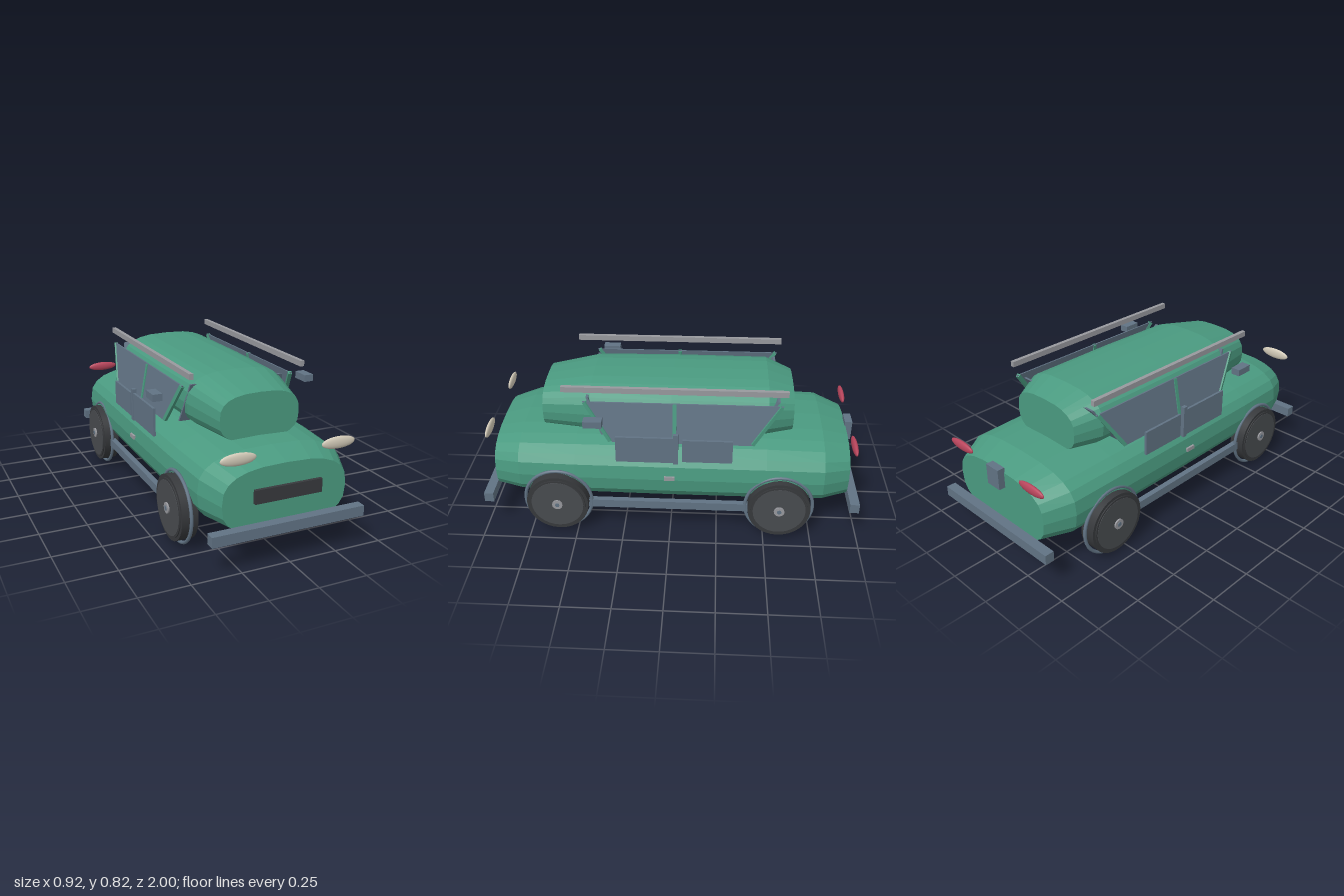
import * as THREE from 'three';

const mat = (name, color) => {
  const m = new THREE.MeshStandardMaterial({ color });
  m.name = name;
  return m;
};

// Loft of superellipse rings; stations run front to back: [z, centreY, halfWidth, halfHeight]
function loft(stations, power, sides) {
  const pos = [], index = [];
  const bend = (v) => Math.sign(v) * Math.abs(v) ** (2 / power);
  for (const [z, cy, w, h] of stations) {
    for (let j = 0; j < sides; j++) {
      const a = (j / sides) * Math.PI * 2;
      pos.push(w * bend(Math.cos(a)), cy + h * bend(Math.sin(a)), z);
    }
  }
  const last = (stations.length - 1) * sides;
  const front = pos.length / 3, back = front + 1;
  const end = stations[stations.length - 1];
  pos.push(0, stations[0][1], stations[0][0], 0, end[1], end[0]);
  for (let j = 0; j < sides; j++) {
    const k = (j + 1) % sides;
    for (let i = 0; i < last; i += sides) {
      const a = i + j, b = i + k, c = a + sides, d = b + sides;
      index.push(a, c, b, b, c, d);
    }
    index.push(front, j, k, back, last + k, last + j);
  }
  const indexed = new THREE.BufferGeometry();
  indexed.setAttribute('position', new THREE.Float32BufferAttribute(pos, 3));
  indexed.setIndex(index);
  const geo = indexed.toNonIndexed();
  geo.computeVertexNormals();
  return geo;
}

export function createModel() {
  const car = new THREE.Group();
  car.name = 'car';
  const green = mat('green paint', 0x4a9a80);
  const slate = mat('slate trim', 0x617384);
  const rubber = mat('black rubber', 0x37393c);
  const disc = mat('wheel grey', 0x484b4f);
  const silver = mat('silver', 0x98999e);
  const cream = mat('headlight cream', 0xd2cab8);
  const red = mat('tail light red', 0xb8455c);

  const add = (name, geo, material, x = 0, y = 0, z = 0, parent = car) => {
    const m = new THREE.Mesh(geo, material);
    m.name = name;
    m.position.set(x, y, z);
    parent.add(m);
    return m;
  };
  // Box given by its limits on each axis
  const box = (name, material, x0, x1, y0, y1, z0, z1) =>
    add(name, new THREE.BoxGeometry(Math.abs(x1 - x0), y1 - y0, z1 - z0), material,
      (x0 + x1) / 2, (y0 + y1) / 2, (z0 + z1) / 2);
  // Square bar between two points
  const bar = (name, material, p, q, size) => {
    const a = new THREE.Vector3(...p), b = new THREE.Vector3(...q);
    const m = add(name, new THREE.BoxGeometry(size, size, a.distanceTo(b)), material);
    m.position.copy(a).add(b).multiplyScalar(0.5);
    m.lookAt(b);
  };

  // Body and cabin shells
  add('body', loft([
    [0.94, 0.312, 0.325, 0.163], [0.8, 0.33, 0.383, 0.185], [0.5, 0.334, 0.4, 0.192],
    [0, 0.335, 0.405, 0.195], [-0.5, 0.335, 0.405, 0.194], [-0.8, 0.332, 0.4, 0.187],
    [-0.94, 0.312, 0.325, 0.163],
  ], 2.8, 24), green);
  add('cabin', loft([
    [0.68, 0.615, 0.213, 0.12], [0.42, 0.637, 0.268, 0.148], [0, 0.638, 0.28, 0.149],
    [-0.5, 0.638, 0.276, 0.148], [-0.635, 0.617, 0.213, 0.121],
  ], 2.8, 24), green);

  // Windscreens set inside the cabin, corners just showing
  const screen = (name, zTop, zBottom) => {
    const geo = new THREE.BoxGeometry(1, 0.205, 0.012);
    const p = geo.attributes.position;
    for (let i = 0; i < p.count; i++) {
      const top = p.getY(i) > 0;
      p.setX(i, p.getX(i) * (top ? 0.51 : 0.57));
      p.setZ(i, p.getZ(i) + (top ? zTop : zBottom));
    }
    geo.computeVertexNormals();
    add(name, geo, slate, 0, 0.633, 0);
  };
  screen('windscreen', 0.435, 0.36);
  screen('rearScreen', -0.55, -0.41);

  // Bumpers, grille and rear plate box
  box('frontBumper', slate, -0.4, 0.4, 0.155, 0.208, 0.95, 1);
  box('rearBumper', slate, -0.4, 0.4, 0.155, 0.208, -1, -0.95);
  box('grille', rubber, -0.175, 0.175, 0.31, 0.378, 0.955, 0.972);
  box('rearPlateBox', slate, -0.045, 0.045, 0.39, 0.5, -0.975, -0.935);

  // Side glass outline, with -z along the shape's x
  const glassShape = new THREE.Shape([
    [-0.3, 0.525], [0.42, 0.525], [0.57, 0.737], [-0.45, 0.737],
  ].map(([u, v]) => new THREE.Vector2(u, v)));
  const lean = (y) => 0.34 - 0.19 * (y - 0.53);

  for (const s of [1, -1]) {
    // Leaning side window with its pillars
    const glass = new THREE.ExtrudeGeometry(glassShape, { depth: 0.008, bevelEnabled: false });
    glass.rotateY(Math.PI / 2);
    const p = glass.attributes.position;
    for (let i = 0; i < p.count; i++) p.setX(i, p.getX(i) - 0.004 + s * lean(p.getY(i)));
    glass.computeVertexNormals();
    add('sideWindow', glass, slate);
    const pillar = (name, z0, z1) =>
      bar(name, green, [s * lean(0.53), 0.53, z0], [s * lean(0.735), 0.735, z1], 0.019);
    pillar('frontPillar', 0.31, 0.44);
    pillar('middlePillar', -0.02, -0.02);
    pillar('rearPillar', -0.42, -0.56);

    // Door panels, post, handle and running board
    box('frontDoorPanel', slate, s * 0.379, s * 0.392, 0.437, 0.585, -0.02, 0.28);
    box('rearDoorPanel', slate, s * 0.379, s * 0.392, 0.445, 0.575, -0.32, -0.063);
    box('doorPost', slate, s * 0.373, s * 0.395, 0.43, 0.605, -0.042, -0.016);
    box('doorHandle', silver, s * 0.395, s * 0.413, 0.338, 0.359, -0.025, 0.03);
    box('runningBoard', slate, s * 0.375, s * 0.405, 0.147, 0.193, -0.43, 0.44);

    // Roof rail and mirror
    box('roofRail', silver, s * 0.29, s * 0.312, 0.795, 0.824, -0.59, 0.555);
    box('mirror', slate, s * 0.398, s * 0.448, 0.67, 0.706, 0.336, 0.43);

    // Lamps
    const lamp = new THREE.SphereGeometry(1, 24, 14);
    add('headlight', lamp, cream, s * 0.258, 0.538, 0.96).scale.set(0.09, 0.03, 0.013);
    add('tailLight', lamp, red, s * 0.272, 0.496, -0.955).scale.set(0.09, 0.026, 0.015);

    // Wheels with thin arch rings
    for (const z of [0.595, -0.575]) {
      const wheel = new THREE.Group();
      wheel.name = z > 0 ? 'frontWheel' : 'rearWheel';
      wheel.position.set(s * 0.3975, 0.187, z);
      car.add(wheel);
      const drum = (name, r, width, material, sides = 32) => {
        const geo = new THREE.CylinderGeometry(r, r, width, sides).rotateZ(Math.PI / 2);
        add(name, geo, material, 0, 0, 0, wheel);
      };
      drum('tyreTread', 0.164, 0.083, rubber);
      drum('tyreWall', 0.148, 0.094, rubber);
      drum('wheelDisc', 0.138, 0.098, disc);
      drum('hub', 0.028, 0.114, silver, 12);
      drum('hubBolt', 0.012, 0.12, slate, 8);
      add('archRing', new THREE.TorusGeometry(0.178, 0.009, 8, 40).rotateY(Math.PI / 2), slate, 0, 0, 0, wheel);
    }
  }
  return car;
}
